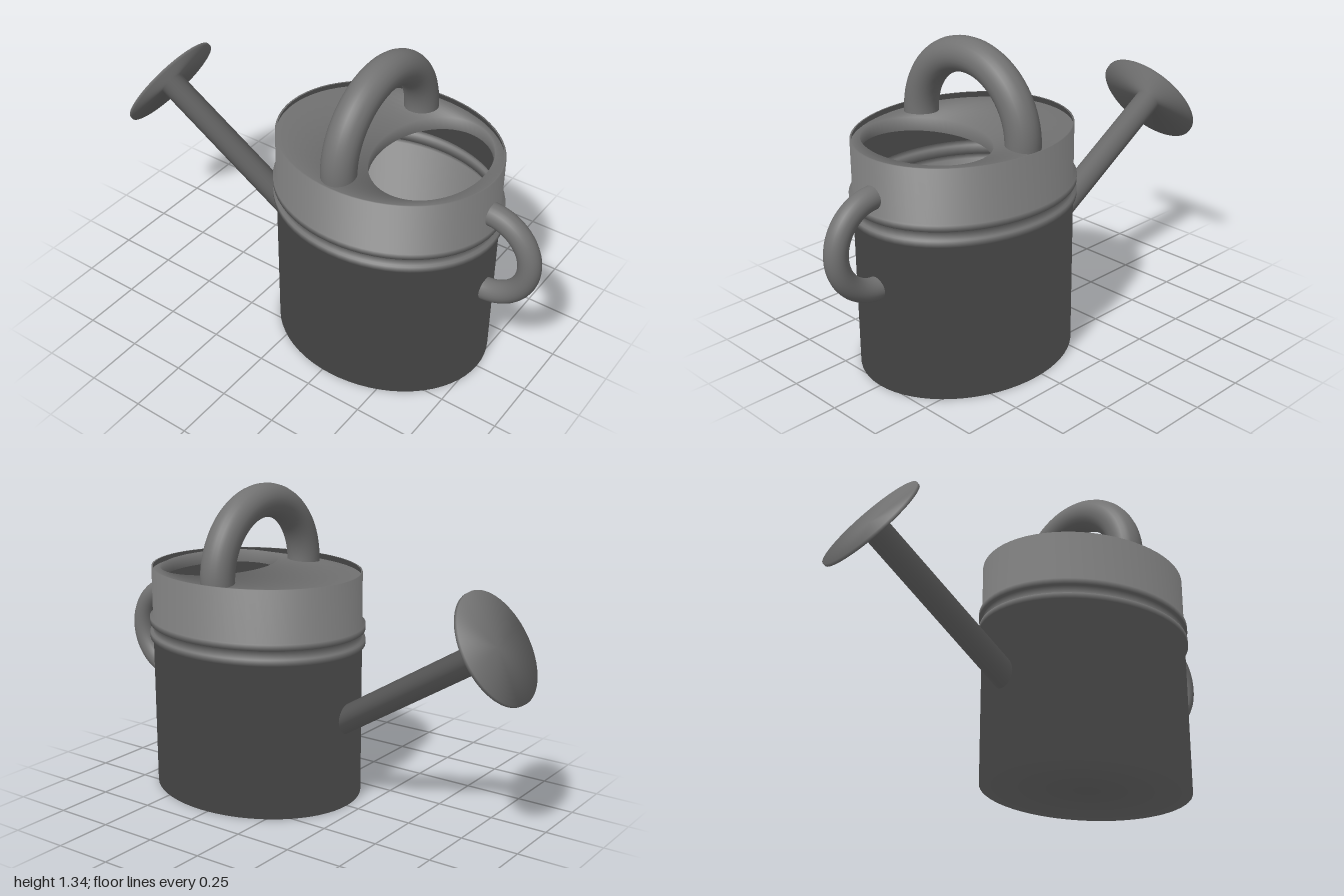
import * as THREE from 'three';
import { mergeVertices } from 'three/addons/utils/BufferGeometryUtils.js';

const CX = 0.29, RX = 0.48, RZ = 0.4; // oval body: centre and radii
const OX = 0.49, OPEN_X = 0.225, OPEN_Z = 0.295; // filling opening
const HEIGHT = 0.98;

// Welds a geometry and rounds its shading across every edge, weighting faces by corner angle
function soften(source) {
  source.deleteAttribute('uv');
  source.deleteAttribute('normal');
  const geometry = mergeVertices(source);
  const position = geometry.attributes.position, index = geometry.index;
  const sums = Array.from({ length: position.count }, () => new THREE.Vector3());
  const triangle = new THREE.Triangle(), normal = new THREE.Vector3();
  for (let i = 0; i < index.count; i += 3) {
    const ids = [0, 1, 2].map((k) => index.getX(i + k));
    triangle.setFromAttributeAndIndices(position, ...ids);
    if (triangle.getArea() < 1e-9) continue;
    triangle.getNormal(normal);
    const corners = [triangle.a, triangle.b, triangle.c];
    ids.forEach((id, k) => {
      const toNext = corners[(k + 1) % 3].clone().sub(corners[k]);
      const toLast = corners[(k + 2) % 3].clone().sub(corners[k]);
      sums[id].addScaledVector(normal, toNext.angleTo(toLast));
    });
  }
  const normals = sums.flatMap((v) => v.normalize().toArray());
  geometry.setAttribute('normal', new THREE.Float32BufferAttribute(normals, 3));
  return geometry;
}

function lathe(points) {
  return new THREE.LatheGeometry(points.map(([r, y]) => new THREE.Vector2(r, y)), 64);
}

export function createModel() {
  const model = new THREE.Group();
  model.name = 'wateringCan';
  const material = new THREE.MeshStandardMaterial({ color: 0x727272 });
  const thin = new THREE.MeshStandardMaterial({ color: 0x727272, side: THREE.DoubleSide });

  function add(name, geometry, mat = material) {
    const mesh = new THREE.Mesh(geometry, mat);
    mesh.name = name;
    model.add(mesh);
    return mesh;
  }

  // Hollow oval body: bottom, wall, two raised bands and a narrow rim
  const bands = [0.68, 0.745].flatMap((y) => [
    [1, y - 0.013], [1.031, y - 0.013], [1.031, y + 0.013], [1, y + 0.013],
  ]);
  const body = lathe([[0, 0], [1, 0], ...bands, [1, HEIGHT], [0.985, HEIGHT]]);
  add('body', soften(body.scale(RX, 1, RZ).translate(CX, 0, 0)), thin);

  // Top deck rising from just below the rim to the opening, then a collar hanging inside it
  const sections = [
    [CX, RX, RZ, HEIGHT - 0.025],
    [OX, OPEN_X, OPEN_Z, HEIGHT - 0.002],
    [OX, OPEN_X, OPEN_Z, HEIGHT - 0.06],
  ];
  const deck = lathe(sections.map((_, i) => [1, i]));
  const p = deck.attributes.position;
  for (let i = 0; i < p.count; i++) {
    const [cx, rx, rz, y] = sections[Math.round(p.getY(i))];
    p.setXYZ(i, cx + rx * p.getX(i), y, rz * p.getZ(i));
  }
  add('topDeck', soften(deck), thin);

  // Carrying handle arching over the top
  const carry = new THREE.TorusGeometry(0.295, 0.072, 24, 48, Math.PI).rotateY(Math.PI / 2);
  add('topHandle', carry.translate(0.255, HEIGHT - 0.005, 0));
  for (const side of [-1, 1]) {
    const foot = new THREE.CylinderGeometry(0.072, 0.072, 0.04, 24, 1, true);
    add('topHandleFoot', foot.translate(0.255, HEIGHT - 0.025, side * 0.295));
  }

  // Rear handle, its ends running into the wall
  const arc = Math.PI * 1.1;
  const rear = new THREE.TorusGeometry(0.192, 0.048, 24, 48, arc).rotateZ(-arc / 2);
  add('rearHandle', rear.translate(0.76, 0.632, -0.004));

  // Straight spout flaring at its tip into a thin disc-shaped rose
  const root = new THREE.Vector3(-0.15, 0.368, 0);
  const direction = new THREE.Vector3(-0.872, 0.815, 0).sub(root);
  const length = direction.length();
  const spout = add('spoutAndRose', soften(lathe([
    [0, 0], [0.056, 0], [0.056, length - 0.007],
    [0.238, length - 0.007], [0.238, length + 0.007], [0, length + 0.007],
  ])));
  spout.position.copy(root);
  spout.quaternion.setFromUnitVectors(new THREE.Vector3(0, 1, 0), direction.normalize());

  return model;
}
